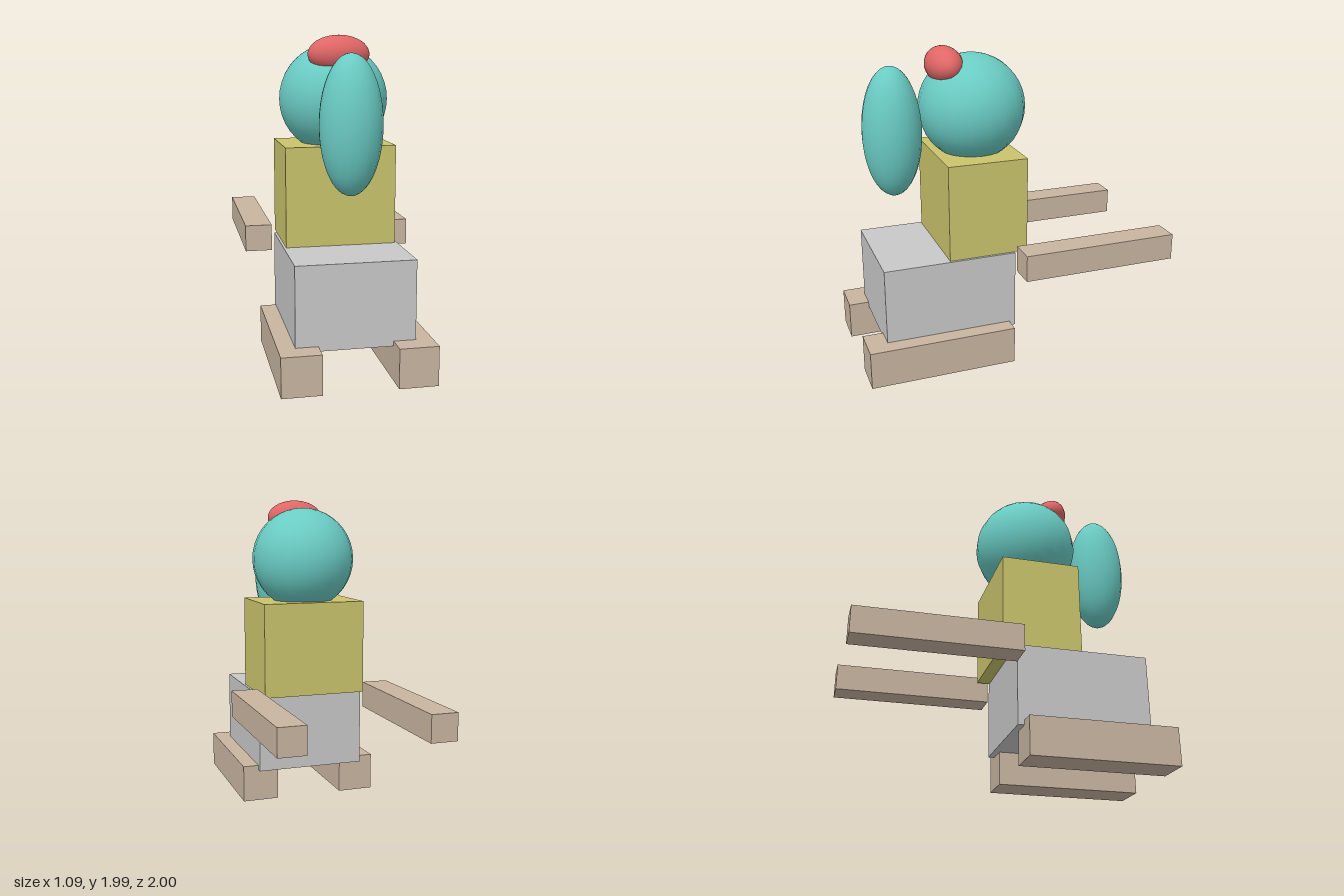
import * as THREE from 'three';

const flat = (name, color) => {
  const m = new THREE.MeshStandardMaterial({ color });
  m.name = name;
  return m;
};

export function createModel() {
  const group = new THREE.Group();
  const teal = flat('teal', 0x6accc4);
  const red = flat('red', 0xe06666);
  const yellow = flat('yellow', 0xcac46c);
  const grey = flat('grey', 0xc8c8c8);
  const tan = flat('tan', 0xc8b5a0);

  const add = (name, geometry, material, x, y, z) => {
    const mesh = new THREE.Mesh(geometry, material);
    mesh.name = name;
    mesh.position.set(x, y, z);
    group.add(mesh);
    return mesh;
  };

  // Box given by its extents along each axis
  const box = (name, material, [x0, x1], [y0, y1], [z0, z1]) =>
    add(name, new THREE.BoxGeometry(x1 - x0, y1 - y0, z1 - z0), material,
      (x0 + x1) / 2, (y0 + y1) / 2, (z0 + z1) / 2);

  // Ellipsoid given by its centre and radii
  const ellipsoid = (name, material, [x, y, z], [rx, ry, rz]) =>
    add(name, new THREE.SphereGeometry(1, 20, 20), material, x, y, z).scale.set(rx, ry, rz);

  // Body blocks
  box('hips', grey, [-0.356, 0.356], [0.21, 0.72], [0.025, 0.87]);
  box('torso', yellow, [-0.34, 0.34], [0.72, 1.33], [-0.06, 0.45]);

  // Mirrored limbs
  for (const [side, s] of [['left', 1], ['right', -1]]) {
    const span = (a, b) => (s > 0 ? [a, b] : [-b, -a]);
    box(side + 'Leg', tan, span(0.222, 0.458), [0, 0.24], [0.065, 1]);
    box(side + 'Arm', tan, span(0.372, 0.543), [0.6, 0.77], [-1, 0.02]);
  }

  // Head, red cap resting on it, and the long form in front
  ellipsoid('head', teal, [0, 1.602, 0.19], [0.338, 0.338, 0.338]);
  ellipsoid('cap', red, [0, 1.877, 0.365], [0.19, 0.114, 0.114]);
  ellipsoid('trunk', teal, [0, 1.483, 0.704], [0.185, 0.408, 0.185]);

  return group;
}
